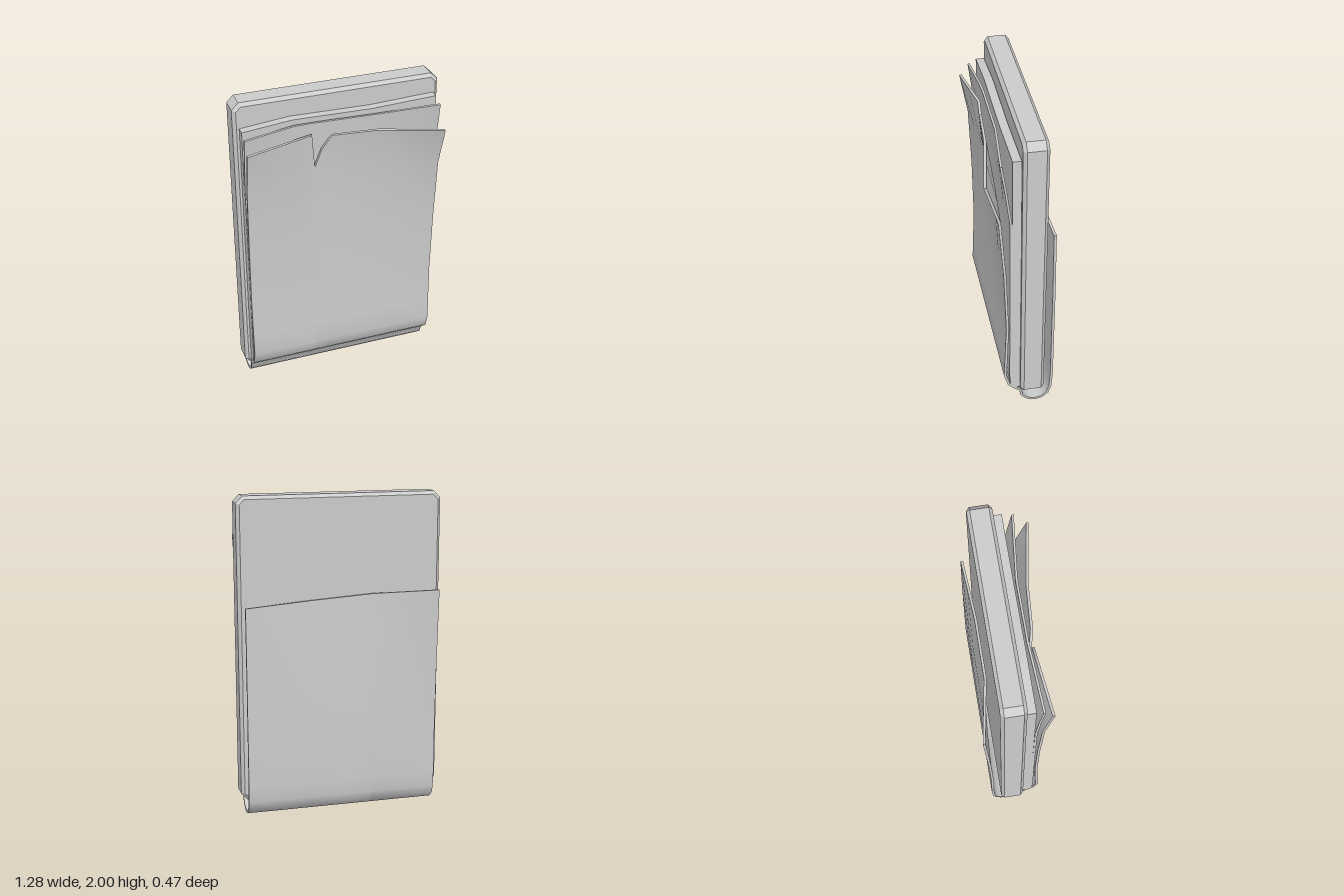
import * as THREE from 'three';
import { mergeGeometries } from 'three/addons/utils/BufferGeometryUtils.js';

const grey = new THREE.MeshStandardMaterial({ color: 0xcccccc });
grey.name = 'grey';

// Linear lookup in a list of [x, value] pairs
function lookup(table, x) {
  for (let i = 1; i < table.length; i++) {
    const [x0, v0] = table[i - 1], [x1, v1] = table[i];
    if (x <= x1) return v0 + (v1 - v0) * (x - x0) / (x1 - x0);
  }
  return table[table.length - 1][1];
}

// Smooth surface over rows of points
function grid(rows) {
  const w = rows[0].length, index = [];
  for (let i = 0; i < rows.length - 1; i++) {
    for (let j = 0; j < w - 1; j++) {
      const a = i * w + j, b = a + w;
      index.push(a, b, b + 1, a, b + 1, a + 1);
    }
  }
  const g = new THREE.BufferGeometry();
  g.setAttribute('position', new THREE.Float32BufferAttribute(rows.flat(2), 3));
  g.setIndex(index);
  g.computeVertexNormals();
  return g;
}

// Bent sheet with thickness; path(x) gives its outer [z, y] profile, starting at the front top
function sheet(name, xs, thickness, path) {
  const outer = [], inner = [];
  for (const x of xs) {
    const p = path(x);
    p.forEach(([z, y], i) => {
      const a = p[Math.max(i - 1, 0)], b = p[Math.min(i + 1, p.length - 1)];
      const dz = b[0] - a[0], dy = b[1] - a[1], k = thickness / Math.hypot(dz, dy);
      (outer[i] ??= []).push([x, y, z]);
      (inner[i] ??= []).push([x, y - dz * k, z + dy * k]);
    });
  }
  const n = outer.length - 1, m = xs.length - 1;
  const geometry = mergeGeometries([
    grid(outer),
    grid(inner.map(r => [...r].reverse())),
    grid([inner[0], outer[0]]),
    grid([outer[n], inner[n]]),
    grid(outer.map((r, i) => [inner[i][0], r[0]])),
    grid(outer.map((r, i) => [r[m], inner[i][m]])),
  ]);
  const mesh = new THREE.Mesh(geometry, grey);
  mesh.name = name;
  return mesh;
}

// Board with clipped corners and chamfered edges
function makeBoard() {
  const b = 0.02, w = 0.64 - b, y0 = 0.095 + b, y1 = 2 - b, c = 0.03;
  const shape = new THREE.Shape([
    [-w + c, y0], [w - c, y0], [w, y0 + c], [w, y1 - c],
    [w - c, y1], [-w + c, y1], [-w, y1 - c], [-w, y0 + c],
  ].map(p => new THREE.Vector2(...p)));
  const geometry = new THREE.ExtrudeGeometry(shape, {
    depth: 0.15 - 2 * b, bevelThickness: b, bevelSize: b, bevelSegments: 1,
  });
  geometry.translate(0, 0, -0.133 + b);
  const mesh = new THREE.Mesh(geometry, grey);
  mesh.name = 'board';
  return mesh;
}

export function createModel() {
  const group = new THREE.Group();
  group.name = 'wrappedBoard';
  group.add(makeBoard());

  const half = 0.605;
  const plainXs = [-half, -0.4, -0.3, -0.2, 0, 0.2, 0.4, half];

  // Thick paper stack against the board
  const stackTop = [[-half, 1.845], [-0.3, 1.875], [0.2, 1.865], [half, 1.882]];
  group.add(sheet('paperStack', plainXs, 0.052, x => [
    [0.072, lookup(stackTop, x)], [0.07, 1.4], [0.07, 0.6], [0.07, 0.17], [0.062, 0.13],
  ]));

  // Loose sheet curling away at the top
  const looseTop = [[-half, 1.815], [-0.3, 1.85], [0.2, 1.838], [half, 1.855]];
  const looseZ = [[-half, 0.125], [-0.2, 0.1], [0.2, 0.1], [half, 0.143]];
  group.add(sheet('looseSheet', plainXs, 0.014, x => {
    const z = lookup(looseZ, x);
    return [[z, lookup(looseTop, x)], [0.084 + (z - 0.084) * 0.5, 1.66],
      [0.086, 1.45], [0.084, 0.9], [0.084, 0.25], [0.078, 0.17], [0.045, 0.12]];
  }));

  // Outer wrap: torn front flap, fold under the board, shorter back flap
  const flapTop = [[-half, 1.74], [-0.2, 1.785], [-0.18, 1.56], [-0.14, 1.68],
    [-0.08, 1.77], [0.2, 1.765], [half, 1.725]];
  const flapZ = [[-half, 0.18], [-0.2, 0.13], [-0.18, 0.115], [-0.14, 0.128],
    [-0.08, 0.142], [0.2, 0.163], [half, 0.233]];
  const lift = [[-half, 0.5], [-0.2, 0.05], [-0.08, 0.08], [0.2, 0.25], [half, 1]];
  const backTop = [[-half, 1.4], [-0.2, 1.385], [0.2, 1.36], [half, 1.335]];
  const backZ = [[-half, -0.235], [-0.2, -0.166], [0.2, -0.164], [half, -0.19]];
  const wrapXs = [-half, -0.4, -0.2, -0.18, -0.14, -0.08, 0.2, 0.4, half];
  group.add(sheet('outerWrap', wrapXs, 0.016, x => {
    const l = lookup(lift, x), bz = lookup(backZ, x);
    return [
      [lookup(flapZ, x), lookup(flapTop, x)],
      [0.108 + 0.045 * l, 1.47], [0.104 + 0.018 * l, 1.07], [0.106, 0.65],
      [0.114, 0.4], [0.12, 0.25], [0.095, 0.165], [0.06, 0.13], [0.02, 0.1],
      [0.012, 0.055], [-0.015, 0.025], [-0.05, 0.004], [-0.09, 0], [-0.13, 0.01],
      [-0.17, 0.045], [-0.188, 0.1], [-0.195, 0.2], [-0.195, 0.5],
      [-0.196 + (bz + 0.196) * 0.3, 0.9], [bz, lookup(backTop, x)],
    ];
  }));

  return group;
}
